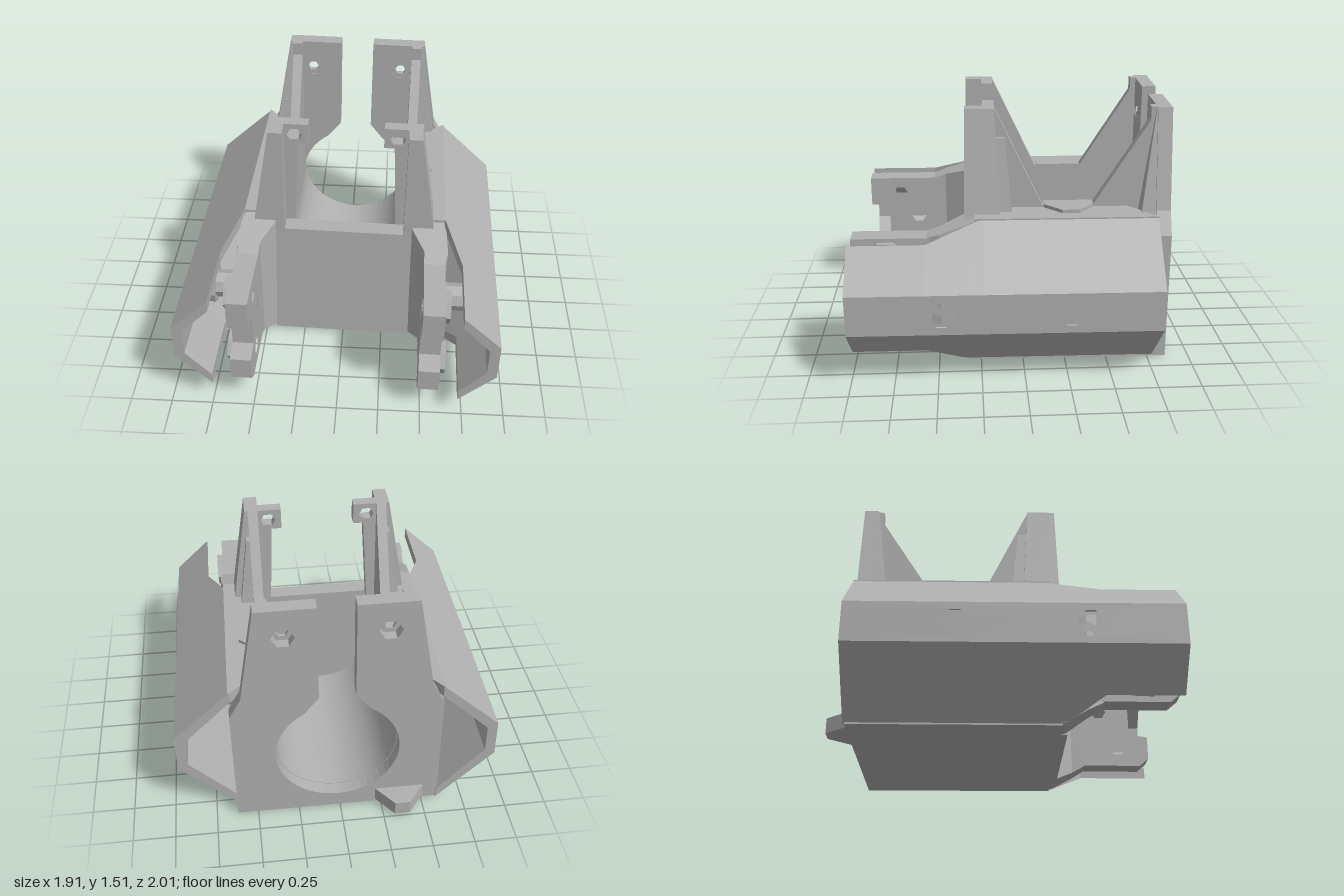
import * as THREE from 'three';

const grey = new THREE.MeshStandardMaterial({ color: 0xb0b0b0 });
grey.name = 'grey plastic';

const lerp = THREE.MathUtils.lerp;
// Height limits of the shell: full at the middle, stepped in towards the front
const topAt = z => lerp(0.9, 0.79, THREE.MathUtils.clamp((z - 0.22) / 0.33, 0, 1));
const botAt = z => lerp(0, 0.13, THREE.MathUtils.clamp((z - 0.32) / 0.23, 0, 1));

function shapeOf(points, holes = []) {
  const shape = new THREE.Shape(points.map(p => new THREE.Vector2(...p)));
  for (const [x, y, r, n] of holes) {
    const hole = [];
    for (let i = 0; i < n; i++) {
      const a = -i / n * Math.PI * 2;
      hole.push(new THREE.Vector2(x + r * Math.cos(a), y + r * Math.sin(a)));
    }
    shape.holes.push(new THREE.Path(hole));
  }
  return shape;
}

const extrude = (shape, depth) =>
  new THREE.ExtrudeGeometry(shape, { depth, bevelEnabled: false, curveSegments: 20 });

// Outline in (x, y), thickness along z
const slabZ = (pts, z0, z1, holes) => extrude(shapeOf(pts, holes), z1 - z0).translate(0, 0, z0);

// Outline in (z, y), thickness along x
function slabX(pts, x0, x1, holes = []) {
  const shape = shapeOf(pts.map(([z, y]) => [-z, y]), holes.map(([z, y, r, n]) => [-z, y, r, n]));
  return extrude(shape, x1 - x0).rotateY(Math.PI / 2).translate(x0, 0, 0);
}

// Outline in (x, z), thickness along y
const slabY = (pts, y0, y1) =>
  extrude(shapeOf(pts.map(([x, z]) => [x, -z])), y1 - y0).rotateX(-Math.PI / 2).translate(0, y0, 0);

// Swap the corner order of every triangle
function flip(geo) {
  const g = geo.index ? geo.toNonIndexed() : geo;
  const p = g.attributes.position;
  const a = new THREE.Vector3(), b = new THREE.Vector3();
  for (let i = 0; i < p.count; i += 3) {
    a.fromBufferAttribute(p, i);
    b.fromBufferAttribute(p, i + 1);
    p.setXYZ(i, b.x, b.y, b.z);
    p.setXYZ(i + 1, a.x, a.y, a.z);
  }
  g.computeVertexNormals();
  return g;
}

// Closed solid through a row of convex rings
function loft(rings) {
  const out = [], n = rings[0].length;
  const tri = (a, b, c) => out.push(...a, ...b, ...c);
  for (let k = 0; k < rings.length - 1; k++) {
    for (let i = 0; i < n; i++) {
      const j = (i + 1) % n, r = rings[k], q = rings[k + 1];
      tri(r[i], r[j], q[j]);
      tri(r[i], q[j], q[i]);
    }
  }
  const first = rings[0], last = rings[rings.length - 1];
  for (let i = 1; i < n - 1; i++) {
    tri(first[0], first[i + 1], first[i]);
    tri(last[0], last[i], last[i + 1]);
  }
  const geo = new THREE.BufferGeometry();
  geo.setAttribute('position', new THREE.Float32BufferAttribute(out, 3));
  geo.computeVertexNormals();
  // Turn inside-out solids the right way round
  let volume = 0;
  const v = [0, 1, 2].map(() => new THREE.Vector3());
  for (let i = 0; i < out.length / 3; i += 3) {
    v.forEach((w, k) => w.fromBufferAttribute(geo.attributes.position, i + k));
    volume += v[0].dot(v[1].clone().cross(v[2]));
  }
  return volume < 0 ? flip(geo) : geo;
}

const rectY = (y, x0, x1, z0, z1) => [[x0, y, z0], [x1, y, z0], [x1, y, z1], [x0, y, z1]];
const rectZ = (z, x0, x1, y0, y1) => [[x0, y0, z], [x1, y0, z], [x1, y1, z], [x0, y1, z]];

// Polygonal ring along x, built from its outline and one hole
function collar(x0, x1, z, y, r, hole, n) {
  const pts = [];
  for (let i = 0; i < n; i++) {
    const a = i / n * Math.PI * 2;
    pts.push([z + r * Math.cos(a), y + r * Math.sin(a)]);
  }
  return slabX(pts, x0, x1, hole ? [[z, y, hole, n]] : []);
}

export function createModel() {
  const model = new THREE.Group();
  model.name = 'bracket';
  const add = (name, geo) => {
    const mesh = new THREE.Mesh(geo, grey);
    mesh.name = name;
    model.add(mesh);
  };

  // Cradle: flat base with a round-bottomed channel
  const cradle = new THREE.Shape();
  cradle.moveTo(-0.61, 0);
  for (const p of [[0.61, 0], [0.61, 0.05], [0.42, 0.05], [0.42, 0.91], [0.36, 0.91], [0.36, 0.46]]) cradle.lineTo(...p);
  cradle.absarc(0, 0.46, 0.36, 0, Math.PI, true);
  for (const p of [[-0.36, 0.91], [-0.42, 0.91], [-0.42, 0.05], [-0.61, 0.05]]) cradle.lineTo(...p);
  add('cradle', extrude(cradle, 1.11).translate(0, 0, -0.79));
  add('frontWall', slabX([[0.22, 0.01], [0.36, 0.01], [0.32, 0.81], [0.22, 0.81]], -0.43, 0.43));

  // Back plate: twin towers above a round opening
  const plate = new THREE.Shape();
  plate.moveTo(-0.61, 0);
  for (const p of [[0.61, 0], [0.61, 0.78], [0.54, 0.91], [0.44, 1.5], [0.105, 1.5], [0.105, 0.88], [0.19, 0.77]]) plate.lineTo(...p);
  const a0 = Math.atan2(0.31, 0.19);
  plate.absarc(0, 0.46, 0.3636, a0, Math.PI - a0, true);
  for (const p of [[-0.105, 0.88], [-0.105, 1.5], [-0.44, 1.5], [-0.54, 0.91], [-0.61, 0.78]]) plate.lineTo(...p);
  const boltHoles = [-0.29, 0.29].map(x => [x, 1.32, 0.065, 6]);
  plate.holes = shapeOf([[0, 0], [1, 0], [0, 1]], boltHoles).holes;
  add('backPlate', extrude(plate, 0.085).translate(0, 0, -0.87));

  add('rearTab', slabY([[-0.53, -0.86], [-0.42, -1], [-0.33, -1], [-0.22, -0.86]], 0.015, 0.105));

  for (const s of [1, -1]) {
    const side = s > 0 ? 'left' : 'right';
    const put = (name, geo) => {
      if (s < 0) geo = flip(geo.scale(-1, 1, 1));
      add(side + name, geo);
    };
    const back = s > 0 ? -0.79 : -0.88, front = s > 0 ? 0.99 : 0.98;

    // Outer shell: vertical strip with holes, slanted panels above and below
    const holes = [0.46, -0.27].map(z => [z, 0.46, 0.08, 10]);
    put('ShellStrip', slabX([[back, 0.34], [front, 0.34], [front, 0.58], [back, 0.58]], 0.88, 0.94, holes));
    const stations = [back, 0.22, 0.32, 0.55, front];
    put('ShellUpper', loft(stations.map(z => {
      const y = topAt(z), x = 0.94 - (y - 0.58) * 1.06;
      return [[0.94, 0.58, z], [x, y, z], [x, y - 0.07, z], [0.88, 0.55, z]];
    })));
    put('ShellLower', loft(stations.map(z => {
      const y = botAt(z), x = 0.94 - (0.34 - y) * 1.0;
      return [[0.94, 0.34, z], [x, y, z], [x, y + 0.07, z], [0.88, 0.37, z]];
    })));
    put('Deck', slabY([[0.38, -0.6], [0.6, back], [0.61, back], [0.61, 0.27], [0.38, 0.27]], 0.83, 0.9));

    // Screw sleeves between the shell and the inner parts
    for (const [z, inner] of [[0.46, 0.6], [-0.27, 0.41]]) {
      put('SleeveHead', collar(0.77, 0.89, z, 0.46, 0.12, 0.08, 10));
      put('SleeveStem', collar(inner, 0.78, z, 0.46, 0.085, 0.035, 8));
      put('SleeveNut', collar(0.77, 0.8, z, 0.46, 0.055, 0.03, 6));
    }

    // Flared corner post running forward into the ear
    put('CornerPost', loft([[0.05, 0.39, 0.42], [0.26, 0.39, 0.6], [0.34, 0.42, 0.62], [0.47, 0.49, 0.63], [0.55, 0.49, 0.61]]
      .map(([z, x0, x1]) => rectZ(z, x0, x1, botAt(z) + 0.005, topAt(z)))));

    // Ear plate with front notch, bolt holes and nuts
    put('Ear', slabX([[0.5, 0.14], [0.92, 0.14], [0.98, 0.19], [0.98, 0.34], [0.86, 0.36], [0.86, 0.6], [0.98, 0.6], [0.98, 0.79], [0.5, 0.79]],
      0.49, 0.615, [[0.78, 0.68, 0.05, 6], [0.66, 0.52, 0.05, 6], [0.78, 0.26, 0.05, 6]]));
    for (const y of [0.68, 0.26]) put('EarNut', collar(0.6, 0.65, 0.78, y, 0.1, 0.055, 6));

    // Front tower: tapered post, hooked top, narrow flange
    put('FrontTower', loft([rectY(0.88, 0.36, 0.54, 0.12, 0.33), rectY(1.5, 0.36, 0.44, 0.15, 0.32)]));
    put('FrontHook', slabZ([[0.22, 1.37], [0.4, 1.37], [0.4, 1.5], [0.22, 1.5]], 0.15, 0.22, [[0.3, 1.43, 0.045, 6]]));
    put('FrontFlange', slabZ([[0.31, 0.8], [0.4, 0.8], [0.4, 1.4], [0.28, 1.4]], 0.15, 0.22));

    // Webs between the towers, with a small bump in the dip
    put('FrontWeb', slabX([[0.2, 0.88], [0.2, 1.5], [0.15, 1.5], [-0.13, 0.91], [-0.13, 0.88]], 0.36, 0.42));
    put('BackWeb', slabX([[-0.8, 0.88], [-0.43, 0.88], [-0.43, 0.91], [-0.8, 1.5]], 0.36, 0.42));
    put('BackButtress', loft([rectY(0.88, 0.4, 0.535, -0.8, -0.7), rectY(1.49, 0.4, 0.435, -0.8, -0.78)]));
    put('FrontButtress', loft([rectY(0.88, 0.4, 0.5, 0.05, 0.2), rectY(1.33, 0.4, 0.44, 0.09, 0.2)]));
    put('DeckBump', slabY([[0.36, -0.43], [0.43, -0.43], [0.53, -0.34], [0.53, -0.24], [0.43, -0.14], [0.36, -0.14]], 0.84, 0.92));

    // Back tower stiffener and screw seat
    put('BackRib', slabZ([[0.36, 0.85], [0.43, 0.85], [0.42, 1.5], [0.36, 1.5]], -0.8, -0.75));
    put('BackSeat', slabZ([[0.22, 1.25], [0.36, 1.25], [0.36, 1.39], [0.22, 1.39]], -0.81, -0.79, [[0.29, 1.32, 0.035, 6]]));
  }

  // The whole part sits very slightly askew
  model.rotation.set(0, -0.015, -0.013);
  model.position.y = 0.01;
  const root = new THREE.Group();
  root.name = 'mountingBracket';
  root.add(model);
  return root;
}
